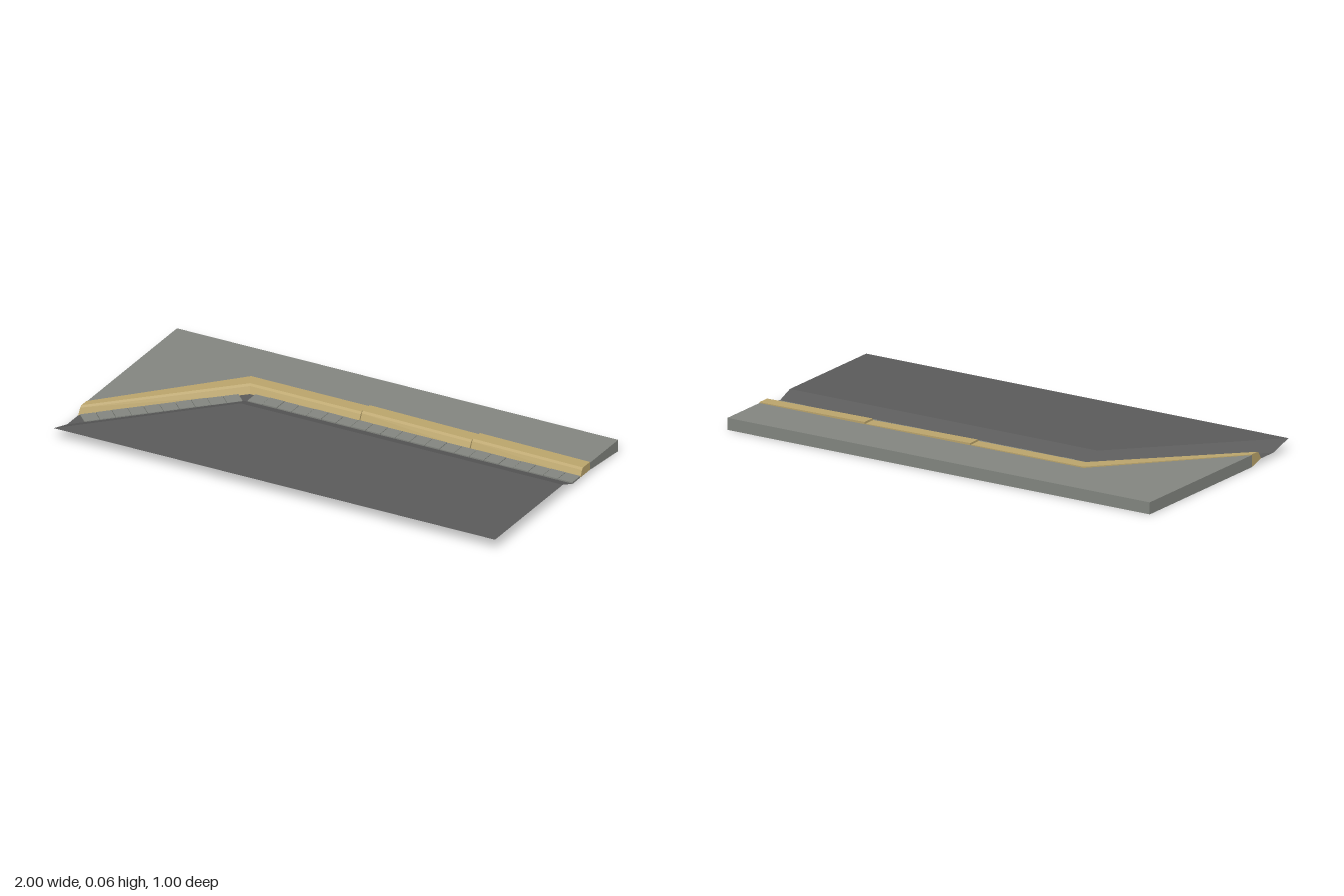
import * as THREE from 'three';

const material = (name, color) => {
  const m = new THREE.MeshStandardMaterial({ color, flatShading: true, side: THREE.DoubleSide });
  m.name = name;
  return m;
};

export function createModel() {
  const model = new THREE.Group();
  model.name = 'roadCorner';
  const paving = material('pavingGrey', 0x838680);
  const asphalt = material('asphaltGrey', 0x5b5b5b);
  const curbTan = material('curbTan', 0xbba56c);

  // Mesh from convex polygons, each a list of [x, y, z]
  function polygons(name, mat, faces, parent = model) {
    const pos = [];
    for (const f of faces)
      for (let i = 1; i < f.length - 1; i++) pos.push(...f[0], ...f[i], ...f[i + 1]);
    const g = new THREE.BufferGeometry();
    g.setAttribute('position', new THREE.Float32BufferAttribute(pos, 3));
    g.computeVertexNormals();
    const mesh = new THREE.Mesh(g, mat);
    mesh.name = name;
    parent.add(mesh);
    return mesh;
  }

  // A rail runs from the left edge to the bend and on to the right edge
  const rail = (y, leftZ, bendX, z) => [[-1, y, leftZ], [bendX, y, z], [1, y, z]];
  const strip = (back, front) =>
    [0, 1].map(i => [back[i], front[i], front[i + 1], back[i + 1]]);

  // Road surface, its sloping edge and the gutter bed
  const crown = rail(0.05, 0.5, -0.46, -0.05);
  const gutterFront = rail(0.019, 0.392, -0.49, -0.13);
  const gutterBack = rail(0.019, 0.302, -0.497, -0.192);
  polygons('roadSurface', asphalt, [
    [crown[0], [-0.46, 0.05, 0.5], crown[1]],
    [crown[1], [-0.46, 0.05, 0.5], [1, 0.05, 0.5], crown[2]],
  ]);
  polygons('roadSlope', asphalt, strip(gutterFront, crown));
  polygons('gutterBed', asphalt, strip(gutterBack, gutterFront));

  // Sidewalk slab, open underneath
  polygons('sidewalkTop', paving,
    strip(rail(0.05, -0.5, -0.53, -0.5), rail(0.05, 0.235, -0.53, -0.265)));
  polygons('sidewalkWalls', paving, [
    [[1, 0, -0.5], [-1, 0, -0.5], [-1, 0.05, -0.5], [1, 0.05, -0.5]],
    [[-1, 0, -0.5], [-1, 0, 0.235], [-1, 0.05, 0.235], [-1, 0.05, -0.5]],
    [[1, 0.019, -0.27], [1, 0, -0.5], [1, 0.05, -0.5], [1, 0.05, -0.27]],
  ]);

  // Curb blocks, each lofted between two sections
  const curb = new THREE.Group();
  curb.name = 'curb';
  model.add(curb);
  const section = (x, top) => [
    [x, 0.019, -0.27], [x, top, -0.27], [x, top, -0.214],
    [x, top - 0.008, -0.206], [x, 0.019, -0.192],
  ];
  function curbBlock(a, b) {
    const faces = [a, [...b].reverse()];
    for (let i = 0; i < 4; i++) faces.push([a[i], a[i + 1], b[i + 1], b[i]]);
    polygons('curbBlock', curbTan, faces, curb);
  }
  const bendX = [-0.535, -0.535, -0.508, -0.504, -0.497];
  const bend = section(0, 0.055).map((p, i) => [bendX[i], p[1], p[2]]);
  curbBlock([
    [-1, 0, 0.235], [-1, 0.053, 0.235], [-1, 0.053, 0.277],
    [-1, 0.046, 0.286], [-1, 0.019, 0.302],
  ], bend);
  curbBlock(bend, section(-0.003, 0.054));
  curbBlock(section(0.002, 0.059), section(0.497, 0.053));
  curbBlock(section(0.502, 0.059), section(1, 0.054));

  // Gutter stones along both legs, slightly uneven
  const stones = new THREE.Group();
  stones.name = 'gutterStones';
  model.add(stones);
  let seed = 7;
  const rand = () => (seed = (seed * 16807) % 2147483647) / 2147483647;
  function stoneRow(x0, z0, x1, z1, count) {
    const dx = x1 - x0, dz = z1 - z0, pitch = Math.hypot(dx, dz) / count;
    for (let i = 0; i < count; i++) {
      const t = (i + 0.5) / count;
      const h = 0.004 + 0.002 * rand();
      const stone = new THREE.Mesh(new THREE.BoxGeometry(pitch * 0.965, h, 0.064), paving);
      stone.position.set(x0 + dx * t, 0.0195 + h / 2, z0 + dz * t);
      stone.rotation.y = -Math.atan2(dz, dx);
      stone.name = 'gutterStone';
      stones.add(stone);
    }
  }
  stoneRow(-0.475, -0.162, 1, -0.162, 22);
  stoneRow(-0.972, 0.322, -0.51, -0.14, 10);

  return model;
}
